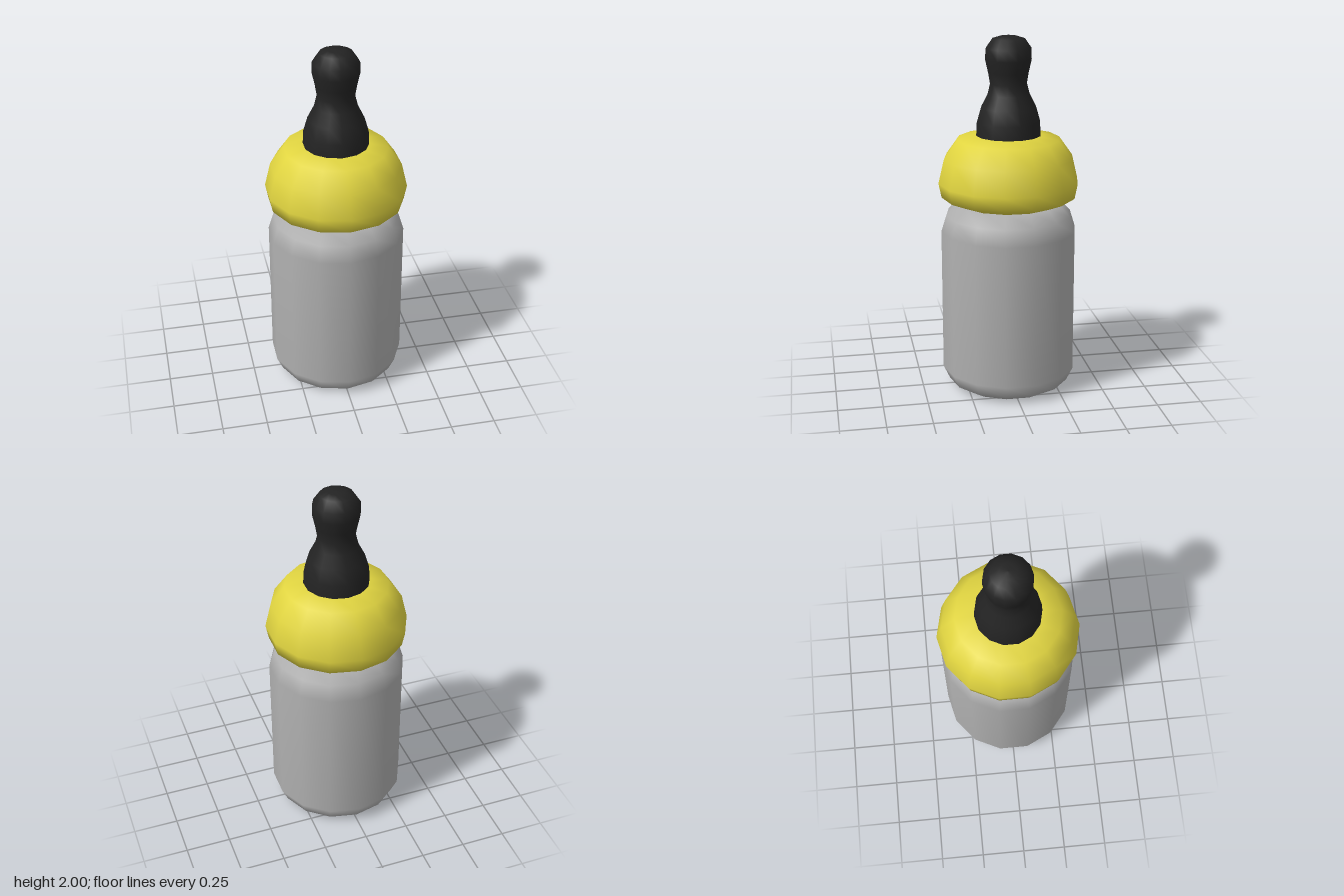
import * as THREE from 'three';

const SIDES = 14;

// Smooth low-poly turned part from [radius, height] pairs, bottom to top
function turned(name, profile, material) {
  const points = profile.map(([r, y]) => new THREE.Vector2(r, y));
  const mesh = new THREE.Mesh(new THREE.LatheGeometry(points, SIDES), material);
  mesh.name = name;
  return mesh;
}

export function createModel() {
  const material = (name, color) => {
    const m = new THREE.MeshStandardMaterial({ color });
    m.name = name;
    return m;
  };
  const grey = material('bottle grey', 0xb0b0b0);
  const yellow = material('collar yellow', 0xe0d440);
  const black = material('teat black', 0x232323);

  const group = new THREE.Group();
  group.name = 'babyBottle';

  // Bottle with rounded base and shoulders
  group.add(turned('bottle', [
    [0, 0], [0.295, 0.005], [0.345, 0.035], [0.38, 0.11],
    [0.38, 0.92], [0.352, 1.01], [0.285, 1.08], [0, 1.08],
  ], grey));

  // Domed screw collar
  group.add(turned('collar', [
    [0, 1.075], [0.28, 1.075], [0.376, 1.115], [0.392, 1.195],
    [0.36, 1.33], [0.285, 1.435], [0.17, 1.458], [0, 1.46],
  ], yellow));

  // Teat with waisted neck and rounded tip
  group.add(turned('teat', [
    [0.18, 1.455], [0.176, 1.53], [0.153, 1.61], [0.117, 1.68],
    [0.102, 1.74], [0.112, 1.80], [0.128, 1.87], [0.126, 1.93],
    [0.09, 1.982], [0.045, 1.996], [0, 2],
  ], black));

  return group;
}
